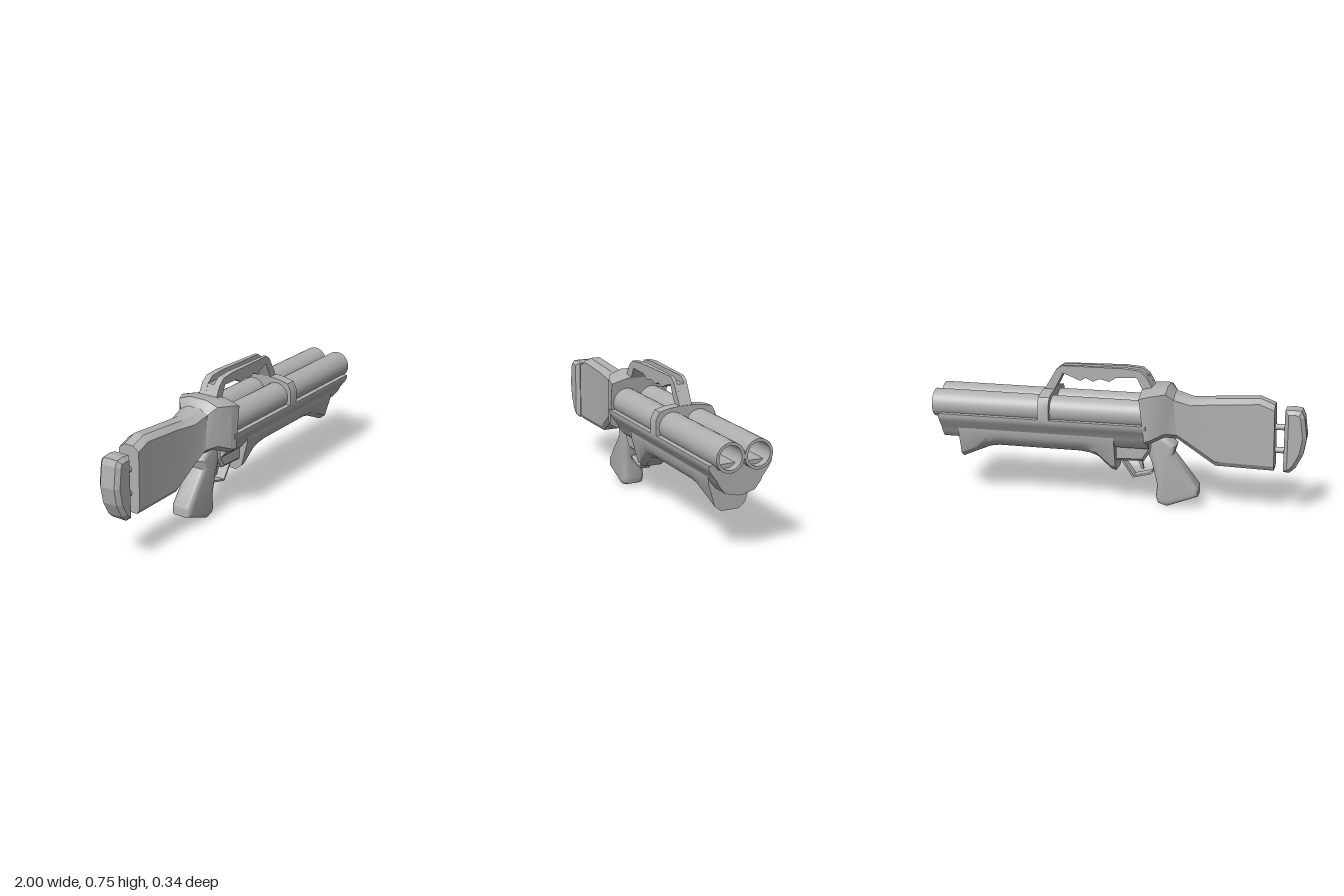
import * as THREE from 'three';
import { toCreasedNormals } from 'three/addons/utils/BufferGeometryUtils.js';

const grey = new THREE.MeshStandardMaterial({ color: 0xb0b0b0 });
grey.name = 'gunGrey';

// Skin a list of half sections (points [x, y, z] from top to bottom, z >= 0), mirrored across z
function loft(halves, crease = 0.5) {
  const rings = halves.map(h => [...h, ...h.map(([x, y, z]) => [x, y, -z]).reverse()]);
  const pos = [], n = rings[0].length;
  const tri = (...pts) => pts.forEach(p => pos.push(...p));
  for (let i = 0; i < rings.length - 1; i++) {
    for (let j = 0; j < n; j++) {
      const a = rings[i][j], b = rings[i][(j + 1) % n];
      const c = rings[i + 1][j], d = rings[i + 1][(j + 1) % n];
      tri(a, b, c);
      tri(b, d, c);
    }
  }
  const first = rings[0], last = rings[rings.length - 1];
  for (let j = 1; j < n - 1; j++) {
    tri(first[0], first[j + 1], first[j]);
    tri(last[0], last[j], last[j + 1]);
  }
  const geo = new THREE.BufferGeometry();
  geo.setAttribute('position', new THREE.Float32BufferAttribute(pos, 3));
  return toCreasedNormals(geo, crease);
}

// Side profile extruded across z, centred, with an inward bevel
function slab(points, width, bevel = 0, segments = 1) {
  const shape = new THREE.Shape(points.map(p => new THREE.Vector2(...p)));
  const geo = new THREE.ExtrudeGeometry(shape, {
    depth: width - 2 * bevel, bevelEnabled: bevel > 0, bevelThickness: bevel,
    bevelSize: bevel, bevelOffset: -bevel, bevelSegments: segments,
  });
  return geo.translate(0, 0, bevel - width / 2);
}

export function createModel() {
  const model = new THREE.Group();
  const add = (name, geo) => {
    const mesh = new THREE.Mesh(geo, grey);
    mesh.name = name;
    model.add(mesh);
    return mesh;
  };

  // Twin hollow barrels
  const tube = [[0, -0.17], [0.075, -0.17], [0.075, 0.995], [0.06, 0.995], [0.06, 0.4], [0, 0.4]];
  const barrelGeo = toCreasedNormals(
    new THREE.LatheGeometry(tube.map(p => new THREE.Vector2(...p)), 32).rotateZ(-Math.PI / 2), 0.6);
  for (const [name, z] of [['leftBarrel', 0.076], ['rightBarrel', -0.074]]) {
    add(name, barrelGeo).position.set(0, 0.51, z);
  }

  // Long keel under the barrels
  const keel = [[0.472, 0.168], [0.455, 0.168], [0.43, 0.155], [0.385, 0.12], [0.365, 0.112],
    [0.325, 0.08], [0.308, 0.015]];
  add('barrelKeel', loft([-0.18, 0.955].map(x => keel.map(([y, z]) => [x, y, z]))));

  // Clamp band
  const band = [[0.61, 0.04], [0.604, 0.1], [0.592, 0.148], [0.55, 0.169], [0.472, 0.169]];
  add('barrelBand', loft([0.34, 0.4].map(x => band.map(([y, z]) => [x, y, z]))));

  // Pump grip: bottom height varies along its length
  const pump = [[0, 0.185], [0.025, 0.19], [0.1, 0.26], [0.14, 0.275], [0.2, 0.283], [0.65, 0.283],
    [0.7, 0.275], [0.77, 0.245], [0.86, 0.205]];
  add('pumpGrip', loft(pump.map(([x, y]) => {
    const w = 0.08 + (y - 0.185) * 0.15;
    return [[x, 0.385, 0.12], [x, 0.352, 0.118], [x, y + 0.028, w], [x, y, w * 0.58]];
  })));

  // Shoulder stock flaring into the collar: [x top, x bottom, y bottom, y top, half width]
  const stock = [
    [-0.832, -0.838, 0.245, 0.595, 0.06],
    [-0.755, -0.755, 0.246, 0.625, 0.06],
    [-0.53, -0.53, 0.25, 0.61, 0.061],
    [-0.4, -0.4, 0.34, 0.6, 0.073],
    [-0.31, -0.33, 0.39, 0.625, 0.085],
    [-0.275, -0.27, 0.4, 0.663, 0.12],
    [-0.2, -0.21, 0.375, 0.657, 0.158],
    [-0.14, -0.175, 0.362, 0.642, 0.165],
  ];
  add('stock', loft(stock.map(([xt, xb, y0, y1, w]) => {
    const x = t => xb + (xt - xb) * t;
    return [[x(1), y1, w * 0.45], [x(0.92), y1 - 0.025, w], [x(0.1), y0 + 0.025, w], [x(0), y0, w * 0.75]];
  }), 0.4));

  // Butt pad on two rods
  add('buttPad', slab([[-0.885, 0.57], [-0.93, 0.576], [-0.97, 0.57], [-0.985, 0.54], [-1, 0.43],
    [-0.985, 0.34], [-0.95, 0.27], [-0.92, 0.24], [-0.885, 0.24]], 0.124, 0.02));
  for (const y of [0.47, 0.345]) {
    add('buttRod', new THREE.CylinderGeometry(0.016, 0.016, 0.09, 16).rotateZ(Math.PI / 2))
      .position.set(-0.86, y, 0);
  }

  // Pistol grip and trigger housing
  const grip = slab([[-0.2, 0.4], [-0.26, 0.39], [-0.32, 0.34], [-0.305, 0.29], [-0.44, 0.115],
    [-0.44, 0.065], [-0.275, 0], [-0.225, 0.015], [-0.213, 0.05], [-0.22, 0.115], [-0.19, 0.24],
    [-0.16, 0.31], [-0.16, 0.38]], 0.118, 0.025, 3);
  add('pistolGrip', toCreasedNormals(grip, 0.7));
  add('triggerHousing', slab([[-0.2, 0.4], [-0.19, 0.31], [-0.15, 0.25], [0.01, 0.243], [0.01, 0.4]], 0.14, 0.015));

  // Trigger guard strip and trigger
  add('triggerGuard', slab([[-0.195, 0.18], [-0.18, 0.167], [-0.085, 0.143], [-0.01, 0.25],
    [-0.022, 0.25], [-0.09, 0.154], [-0.175, 0.176], [-0.19, 0.19]], 0.06));
  add('trigger', slab([[-0.125, 0.26], [-0.14, 0.19], [-0.128, 0.19], [-0.115, 0.225], [-0.085, 0.26]], 0.025));

  // Carrying handle: two side rails over a lower core, narrowing toward the front
  const under = [[0.4, 0.6], [0.345, 0.6], [0.295, 0.7], [0.25, 0.685], [0.2, 0.665], [0.17, 0.682],
    [0.13, 0.665], [0.09, 0.682], [0.04, 0.67], [0, 0.695], [-0.11, 0.7], [-0.145, 0.63], [-0.2, 0.63]];
  const top = [[-0.19, 0.655], [-0.16, 0.71], [-0.125, 0.738], [-0.04, 0.746], [0.3, 0.741], [0.33, 0.72]];
  const core = top.map(([x, y]) => [x, Math.min(y, 0.707)]);
  core[5] = [0.338, 0.707];
  add('handleCore', slab([...under, ...core], 0.04));
  for (const side of [1, -1]) {
    const rail = slab([...under, ...top], 0.02);
    const p = rail.attributes.position;
    for (let i = 0; i < p.count; i++) {
      const outer = 0.056 - 0.021 * THREE.MathUtils.clamp((p.getX(i) + 0.19) / 0.55, 0, 1);
      const isOuter = p.getZ(i) * side > 0;
      p.setZ(i, side * (isOuter ? outer : 0.018));
    }
    rail.computeVertexNormals();
    add(side > 0 ? 'leftHandleRail' : 'rightHandleRail', rail);
  }

  return model;
}
